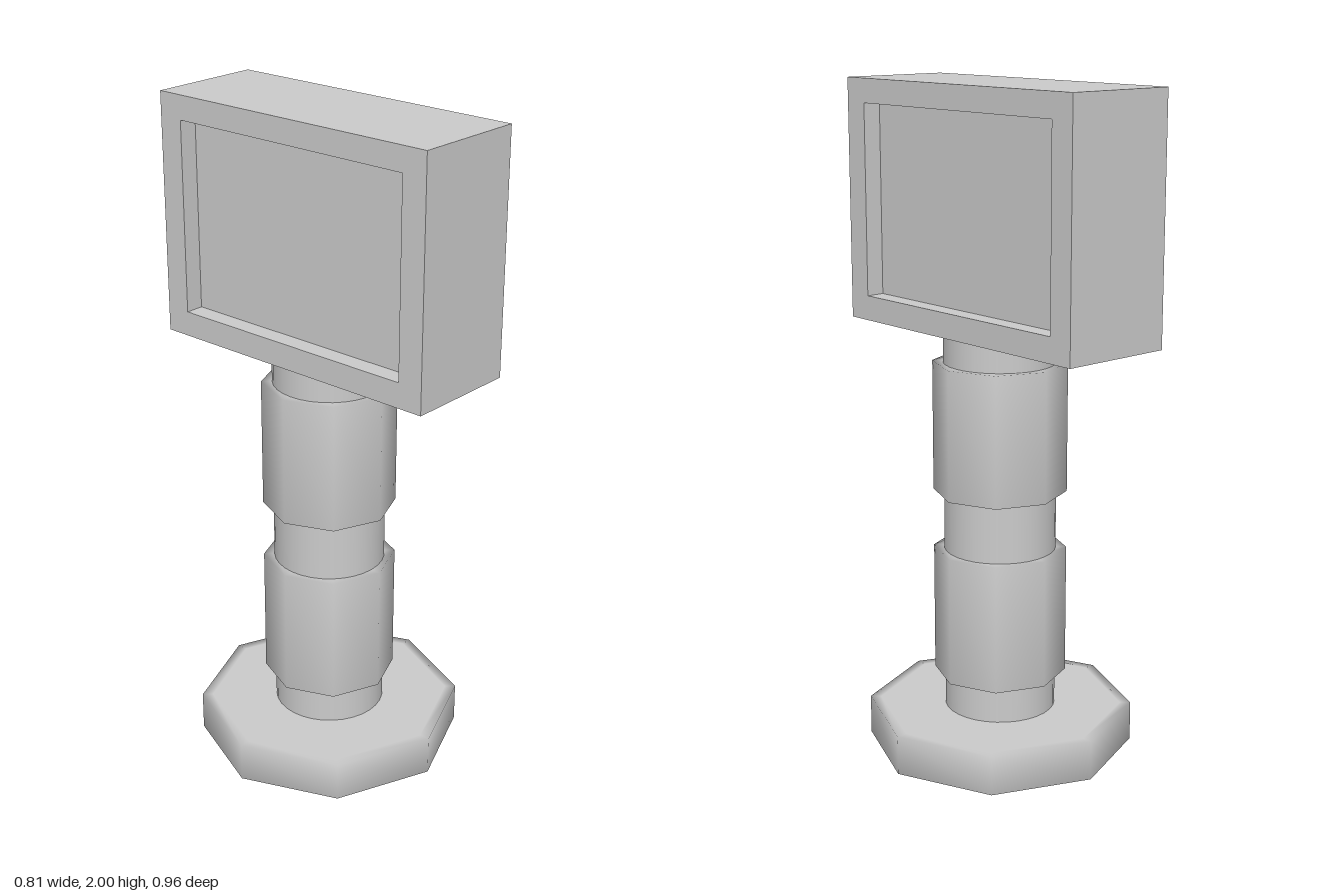
import * as THREE from 'three';

export function createModel() {
  const model = new THREE.Group();
  const material = new THREE.MeshStandardMaterial({ color: 0xcccccc });

  function add(name, geometry, x, y, z) {
    const mesh = new THREE.Mesh(geometry, material);
    mesh.name = name;
    mesh.position.set(x, y, z);
    model.add(mesh);
  }

  // Softly shaded octagonal drum: corners lie on the axes
  function octagon(inner, radius, height) {
    const profile = [[0, 0], [inner, 0], [radius, 0], [radius, height], [inner, height], [0, height]];
    return new THREE.LatheGeometry(profile.map(([r, y]) => new THREE.Vector2(r, y)), 8);
  }

  // Stand: base plate, round column and two collars
  add('base', octagon(0.37, 0.403, 0.12), 0, 0, 0);
  add('column', new THREE.CylinderGeometry(0.168, 0.168, 1.2, 32), 0, 0.7, 0);
  add('lowerCollar', octagon(0.16, 0.2, 0.395), 0, 0.228, 0);
  add('upperCollar', octagon(0.16, 0.2, 0.395), 0, 0.8, 0);

  // Display head: recessed panel on both broad sides, framed by four bars
  const width = 0.354, bottom = 1.28, top = 2, sillTop = 1.355, lintel = 1.928;
  add('panel', new THREE.BoxGeometry(0.24, lintel - sillTop, 0.804), 0, (sillTop + lintel) / 2, 0);
  add('frameBottom', new THREE.BoxGeometry(width, sillTop - bottom, 0.804), 0, (bottom + sillTop) / 2, 0);
  add('frameTop', new THREE.BoxGeometry(width, top - lintel, 0.804), 0, (lintel + top) / 2, 0);
  for (const [name, side] of [['frameFront', 1], ['frameBack', -1]]) {
    add(name, new THREE.BoxGeometry(width, top - bottom, 0.078), 0, (bottom + top) / 2, side * 0.441);
  }

  return model;
}
